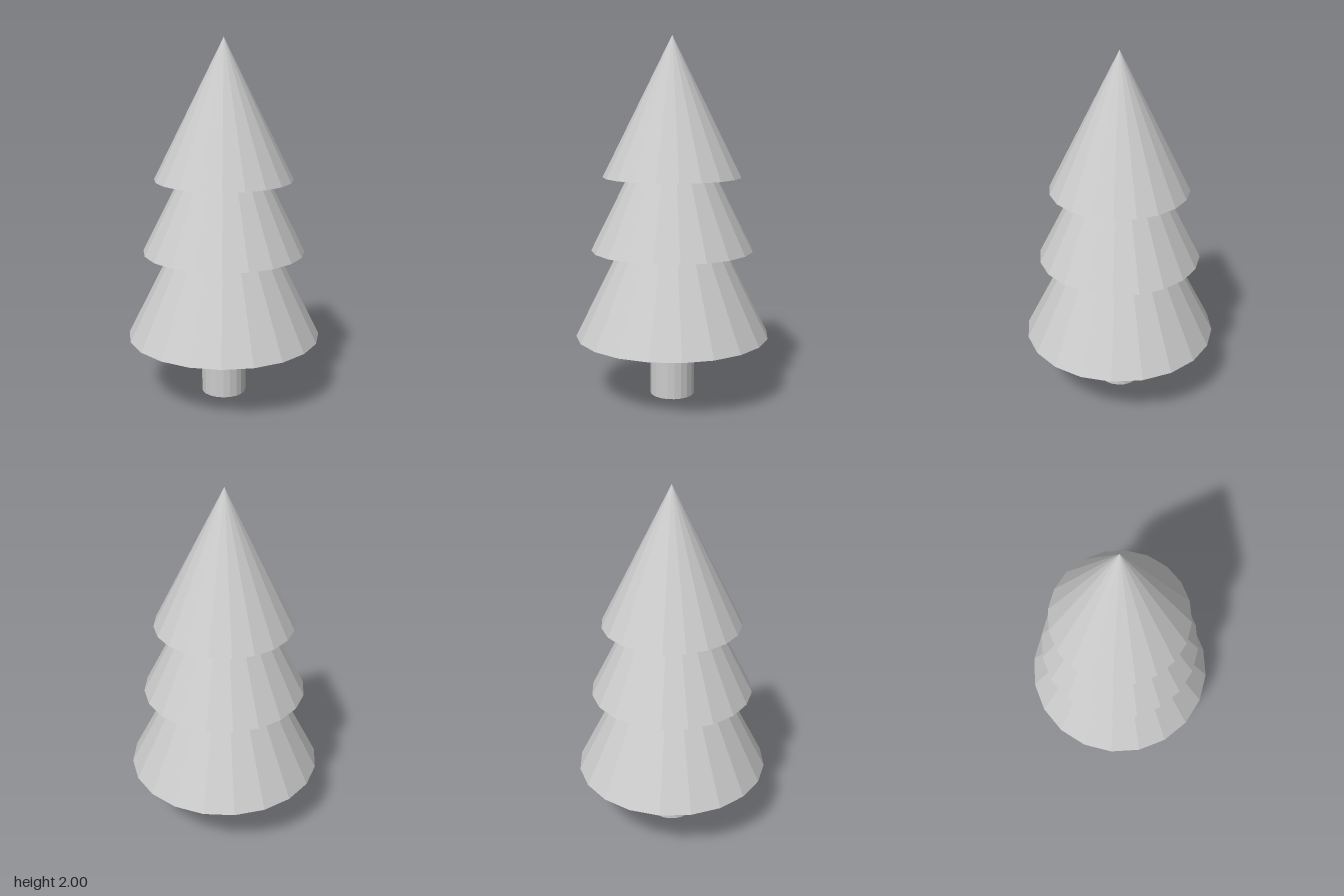
import * as THREE from 'three';

const SIDES = 20;

export function createModel() {
  const tree = new THREE.Group();
  tree.name = 'pineTree';
  const material = new THREE.MeshStandardMaterial({ color: 0xcccccc, flatShading: true });

  const addPart = (name, geometry, y) => {
    const mesh = new THREE.Mesh(geometry, material);
    mesh.name = name;
    mesh.position.y = y;
    tree.add(mesh);
  };

  // Trunk, tucked slightly into the lowest tier
  const trunkHeight = 0.36;
  addPart('trunk', new THREE.CylinderGeometry(0.125, 0.125, trunkHeight, SIDES), trunkHeight / 2);

  // Overlapping cones of foliage, all with the same slope
  const tiers = [
    { name: 'lowerFoliage', radius: 0.54, base: 0.345, tip: 1.42 },
    { name: 'middleFoliage', radius: 0.45, base: 0.83, tip: 1.725 },
    { name: 'upperFoliage', radius: 0.383, base: 1.235, tip: 2 },
  ];
  for (const { name, radius, base, tip } of tiers) {
    addPart(name, new THREE.ConeGeometry(radius, tip - base, SIDES), (base + tip) / 2);
  }

  return tree;
}
